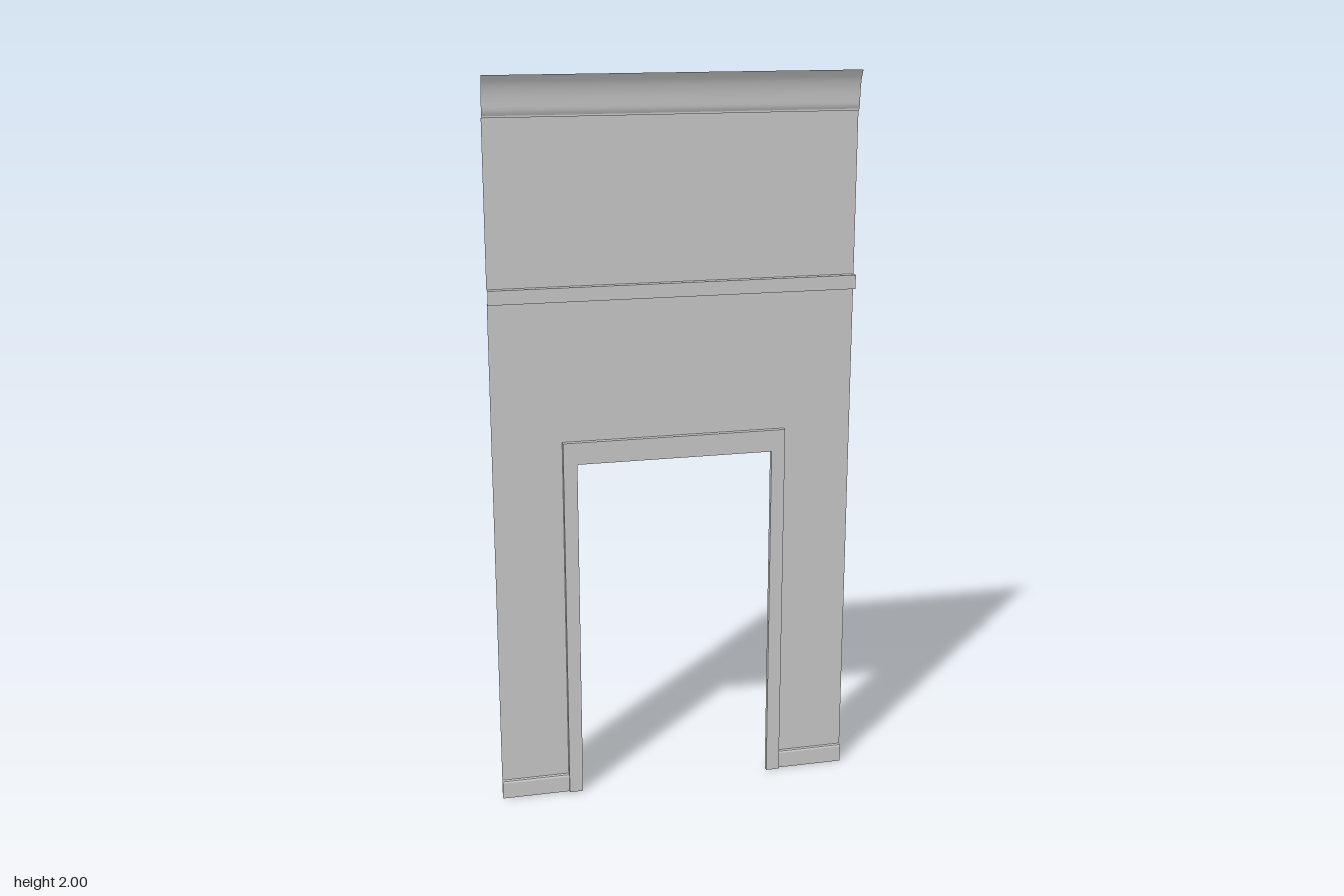
import * as THREE from 'three';

const material = new THREE.MeshStandardMaterial({ color: 0xcccccc, side: THREE.DoubleSide });
const WALL = -0.015;   // z of the wall sheet
const HALF = 0.5;      // half the panel width

// Open surface through rows of points; flat facets unless smooth.
function sheet(name, rows, smooth = false) {
  const n = rows[0].length;
  const index = [];
  for (let r = 0; r < rows.length - 1; r++) {
    for (let i = 0; i < n - 1; i++) {
      const a = r * n + i, b = a + 1, c = a + n, d = c + 1;
      index.push(a, c, b, b, c, d);
    }
  }
  let geometry = new THREE.BufferGeometry();
  geometry.setAttribute('position', new THREE.Float32BufferAttribute(rows.flat(2), 3));
  geometry.setIndex(index);
  if (!smooth) geometry = geometry.toNonIndexed();
  geometry.computeVertexNormals();
  const mesh = new THREE.Mesh(geometry, material);
  mesh.name = name;
  return mesh;
}

// Moulding: a profile of [z, y] points, bottom to top, run along x.
function moulding(name, profile, x0 = -HALF, x1 = HALF, smooth = false) {
  const run = x => profile.map(([z, y]) => [x, y, z]);
  return sheet(name, [run(x0), run(x1)], smooth);
}

export function createModel() {
  const group = new THREE.Group();
  const outer = { x: 0.31, y: 1.033 }, inner = { x: 0.272, y: 0.972 };
  const railLow = 1.418, railHigh = 1.456, corniceLow = 1.893;

  // Lower wall with the doorway cut out
  const outline = new THREE.Shape([
    [-HALF, 0], [-outer.x, 0], [-outer.x, outer.y], [outer.x, outer.y],
    [outer.x, 0], [HALF, 0], [HALF, railLow], [-HALF, railLow],
  ].map(p => new THREE.Vector2(...p)));
  const lowerWall = new THREE.Mesh(new THREE.ShapeGeometry(outline), material);
  lowerWall.name = 'lowerWall';
  lowerWall.position.z = WALL;
  group.add(lowerWall);

  // Upper wall and the hollow rail between the two
  group.add(moulding('upperWall', [[WALL, railHigh], [WALL, corniceLow]]));
  group.add(moulding('rail', [[WALL, railLow], [0.005, railLow], [0.005, railHigh], [WALL, railHigh]]));

  // Cornice: small step, then an ogee flaring out to the top
  group.add(moulding('corniceStep', [[WALL, corniceLow], [-0.009, corniceLow], [-0.009, 1.898]]));
  const ogee = new THREE.SplineCurve([
    [-0.009, 1.898], [-0.005, 1.91], [-0.004, 1.93], [-0.002, 1.952],
    [0.003, 1.974], [0.01, 1.99], [0.015, 2],
  ].map(p => new THREE.Vector2(...p)));
  group.add(moulding('cornice', ogee.getPoints(16).map(p => [p.x, p.y]), -HALF, HALF, true));

  // Skirting on each side of the doorway
  const skirting = [[-0.007, 0], [-0.007, 0.046], [-0.009, 0.051], [WALL, 0.053]];
  group.add(moulding('rightSkirting', skirting, -HALF, -outer.x));
  group.add(moulding('leftSkirting', skirting, outer.x, HALF));

  // Door casing: outer lip, face and inner return swept round the opening
  const arch = (e, z) => [[-e.x, 0, z], [-e.x, e.y, z], [e.x, e.y, z], [e.x, 0, z]];
  group.add(sheet('doorCasing', [
    arch(outer, WALL), arch(outer, 0), arch(inner, 0), arch(inner, WALL),
  ]));

  return group;
}
